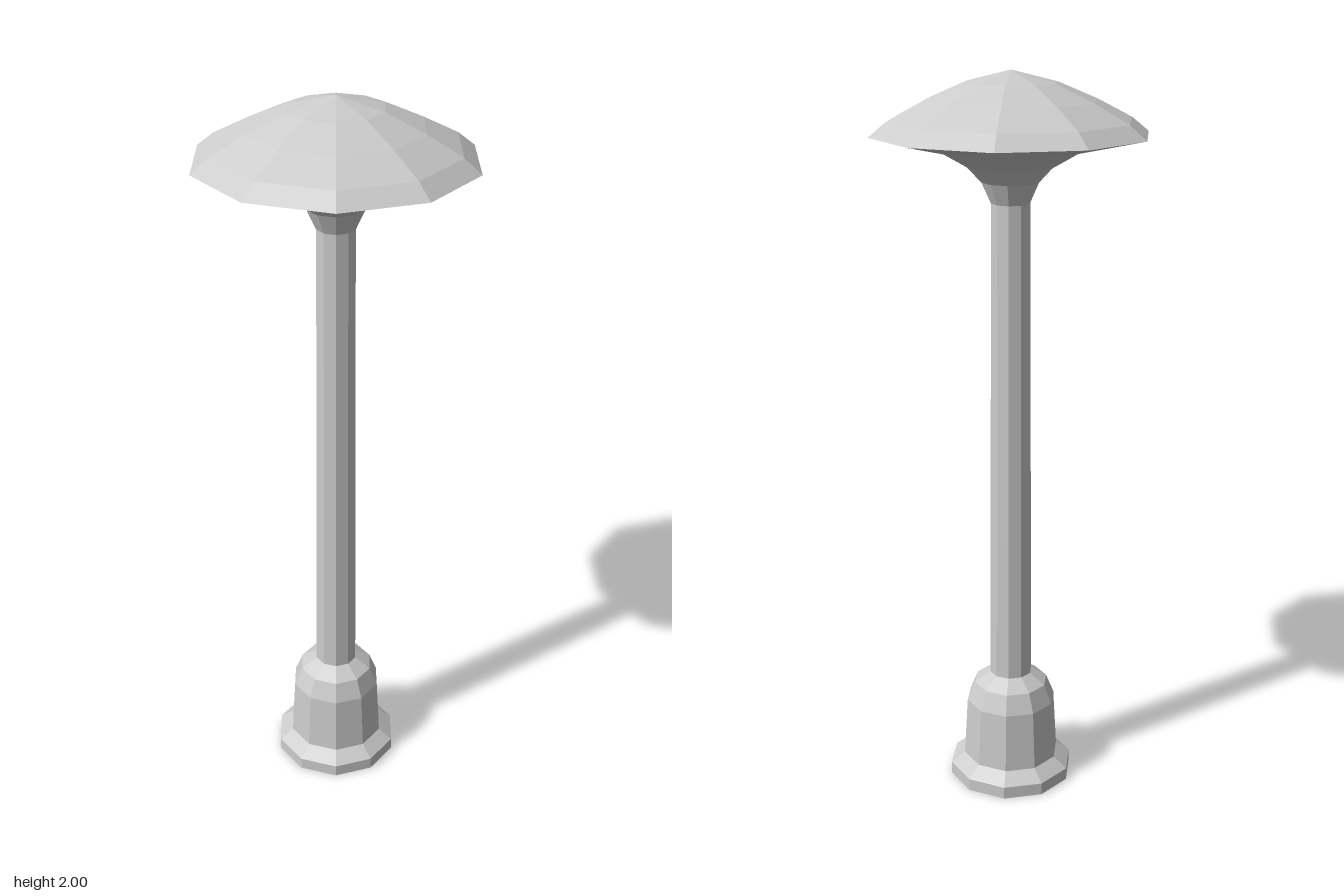
import * as THREE from 'three';

const SIDES = 10;

export function createModel() {
  const group = new THREE.Group();
  group.name = 'bollardLamp';

  const grey = new THREE.MeshStandardMaterial({ color: 0xcccccc, flatShading: true });
  grey.name = 'light grey';

  // Ten-sided turned part; the profile runs bottom to top as [radius, height]
  function turned(name, profile) {
    const points = profile.map(([r, y]) => new THREE.Vector2(r, y));
    const smooth = new THREE.LatheGeometry(points, SIDES, Math.PI / 2);
    const geometry = smooth.toNonIndexed();
    geometry.computeVertexNormals();
    const mesh = new THREE.Mesh(geometry, grey);
    mesh.name = name;
    group.add(mesh);
  }

  // Stepped foot with a flared plinth and a sloping shoulder
  turned('base', [
    [0, 0], [0.176, 0], [0.176, 0.035], [0.137, 0.065],
    [0.127, 0.235], [0.105, 0.29], [0.06, 0.32],
  ]);

  // Slightly tapered pole
  turned('pole', [[0.06, 0.32], [0.052, 1.665]]);

  // Flared neck opening into the underside of the shade
  turned('neck', [
    [0.052, 1.665], [0.077, 1.72], [0.115, 1.76], [0.185, 1.80], [0.366, 1.84],
  ]);

  // Domed shade
  turned('shade', [
    [0.366, 1.84], [0.32, 1.877], [0.227, 1.925], [0.123, 1.969], [0, 2],
  ]);

  return group;
}
